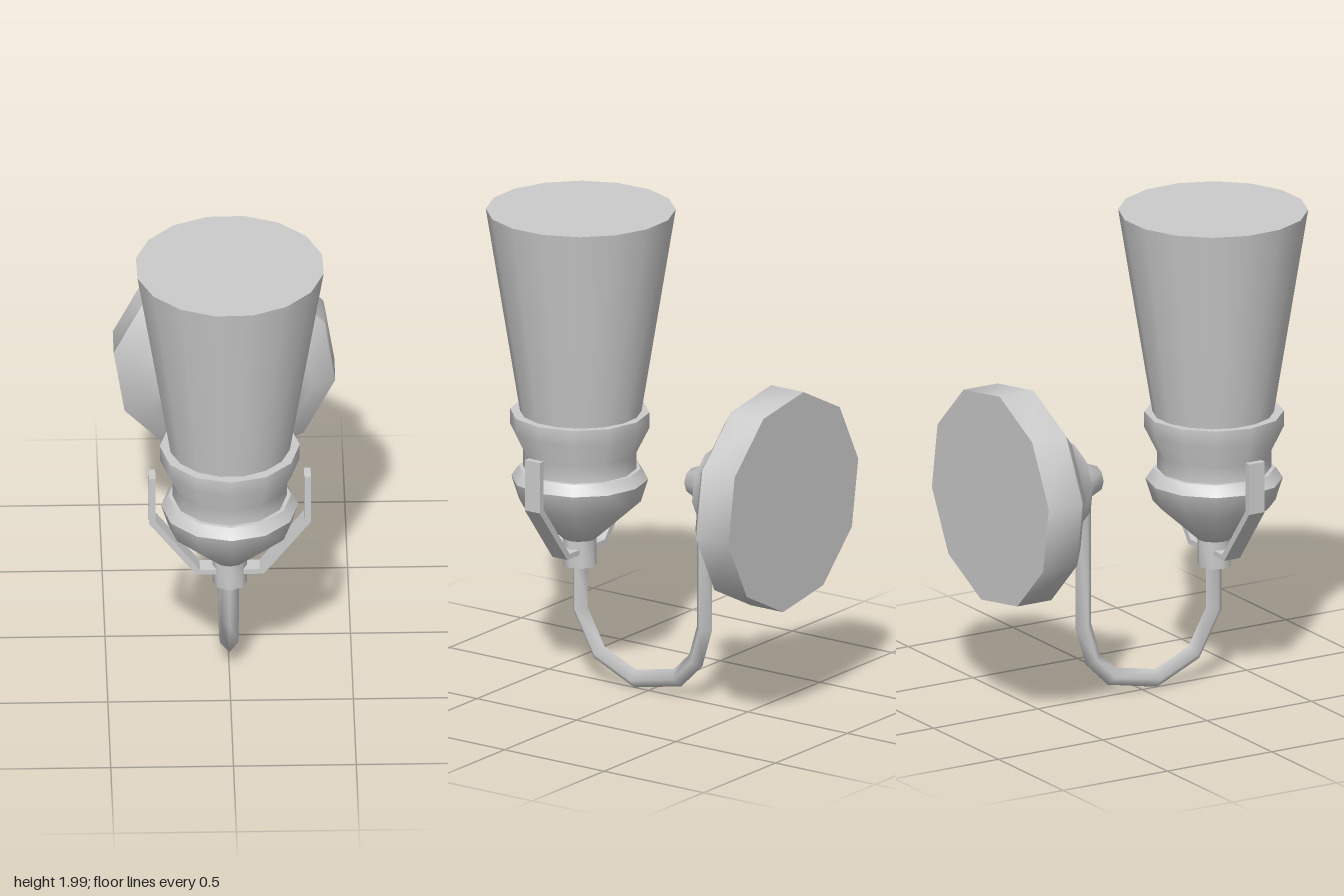
import * as THREE from 'three';
import { toCreasedNormals } from 'three/addons/utils/BufferGeometryUtils.js';

const material = new THREE.MeshStandardMaterial({ color: 0xcccccc });
const AXIS_Z = 0.345; // vertical axis of the lamp holder
const WALL_Y = 0.945; // horizontal axis of the wall mount

function part(name, geometry, parent) {
  const mesh = new THREE.Mesh(geometry, material);
  mesh.name = name;
  parent.add(mesh);
  return mesh;
}

// Turned part: profile of [radius, height] from bottom to top
function turned(profile, sides, startDeg = 0, crease = 0.83) {
  const points = profile.map(([r, y]) => new THREE.Vector2(r, y));
  const start = THREE.MathUtils.degToRad(startDeg);
  return toCreasedNormals(new THREE.LatheGeometry(points, sides, start), crease);
}

// Four-sided mitred tube along a path of [z, y] points in the x = 0 plane
function squareTube(path, r) {
  const pts = path.map(([z, y]) => new THREE.Vector2(z, y));
  const positions = [];
  const index = [];
  pts.forEach((p, i) => {
    const a = p.clone().sub(pts[Math.max(i - 1, 0)]).normalize();
    const b = pts[Math.min(i + 1, pts.length - 1)].clone().sub(p).normalize();
    const t = a.clone().add(b).normalize();
    const ref = a.lengthSq() > 0 ? a : b;
    const m = r / t.dot(ref); // mitre length
    const nz = -t.y * m, ny = t.x * m;
    positions.push(r, p.y, p.x, 0, p.y + ny, p.x + nz, -r, p.y, p.x, 0, p.y - ny, p.x - nz);
    if (i === 0) return;
    for (let k = 0; k < 4; k++) {
      const c = (i - 1) * 4 + k, d = (i - 1) * 4 + (k + 1) % 4;
      index.push(c, d, c + 4, d, d + 4, c + 4);
    }
  });
  const g = new THREE.BufferGeometry();
  g.setAttribute('position', new THREE.Float32BufferAttribute(positions, 3));
  g.setIndex(index);
  g.computeVertexNormals();
  return g;
}

export function createModel() {
  const model = new THREE.Group();
  model.name = 'wallLamp';

  // Lamp holder and shade
  const lamp = new THREE.Group();
  lamp.name = 'lamp';
  lamp.position.z = AXIS_Z;
  model.add(lamp);

  const shadeStart = THREE.MathUtils.degToRad(12.5);
  const shade = part('shade', new THREE.CylinderGeometry(0.387, 0.225, 1, 16, 1, false, shadeStart), lamp);
  shade.position.set(0, 1.5, -0.005);

  part('collar', turned([
    [0.0, 0.9], [0.233, 0.9], [0.233, 0.97], [0.285, 1.075], [0.285, 1.14], [0.2, 1.14],
  ], 12), lamp);

  part('bowl', turned([
    [0.0, 0.6], [0.07, 0.6], [0.25, 0.76], [0.28, 0.855], [0.25, 0.9], [0, 0.9],
  ], 12), lamp);

  part('stem', turned([[0, 0.485], [0.07, 0.485], [0.07, 0.61], [0, 0.61]], 8), lamp);

  // Bent flat brackets on both sides
  for (const side of [1, -1]) {
    const outline = [
      [0.05, 0.543], [0.138, 0.543], [0.33, 0.79], [0.33, 1.005],
      [0.303, 1.005], [0.303, 0.8], [0.122, 0.565], [0.05, 0.565],
    ].map(([x, y]) => new THREE.Vector2(side * x, y));
    const geometry = new THREE.ExtrudeGeometry(new THREE.Shape(outline), { depth: 0.075, bevelEnabled: false });
    const bracket = part(side > 0 ? 'leftBracket' : 'rightBracket', geometry, lamp);
    bracket.position.z = -0.0375;
  }

  // Curved arm from the stem round to the wall mount
  part('arm', squareTube([
    [0.343, 0.52], [0.343, 0.3], [0.247, 0.127], [0.067, 0.047],
    [-0.147, 0.09], [-0.238, 0.18], [-0.282, 0.325], [-0.282, 0.93],
  ], 0.037), model);

  // Wall mount, turned about the z axis
  const mount = new THREE.Group();
  mount.name = 'wallMount';
  mount.position.y = WALL_Y;
  mount.rotation.x = Math.PI / 2;
  model.add(mount);

  part('backplate', turned([
    [0, -0.728], [0.457, -0.728], [0.457, -0.565], [0.364, -0.497],
    [0.23, -0.431], [0.174, -0.343], [0, -0.343],
  ], 10, 9), mount);

  part('nub', turned([[0.106, -0.35], [0.052, -0.217], [0, -0.197]], 8, 0, 1.2), mount);

  return model;
}
